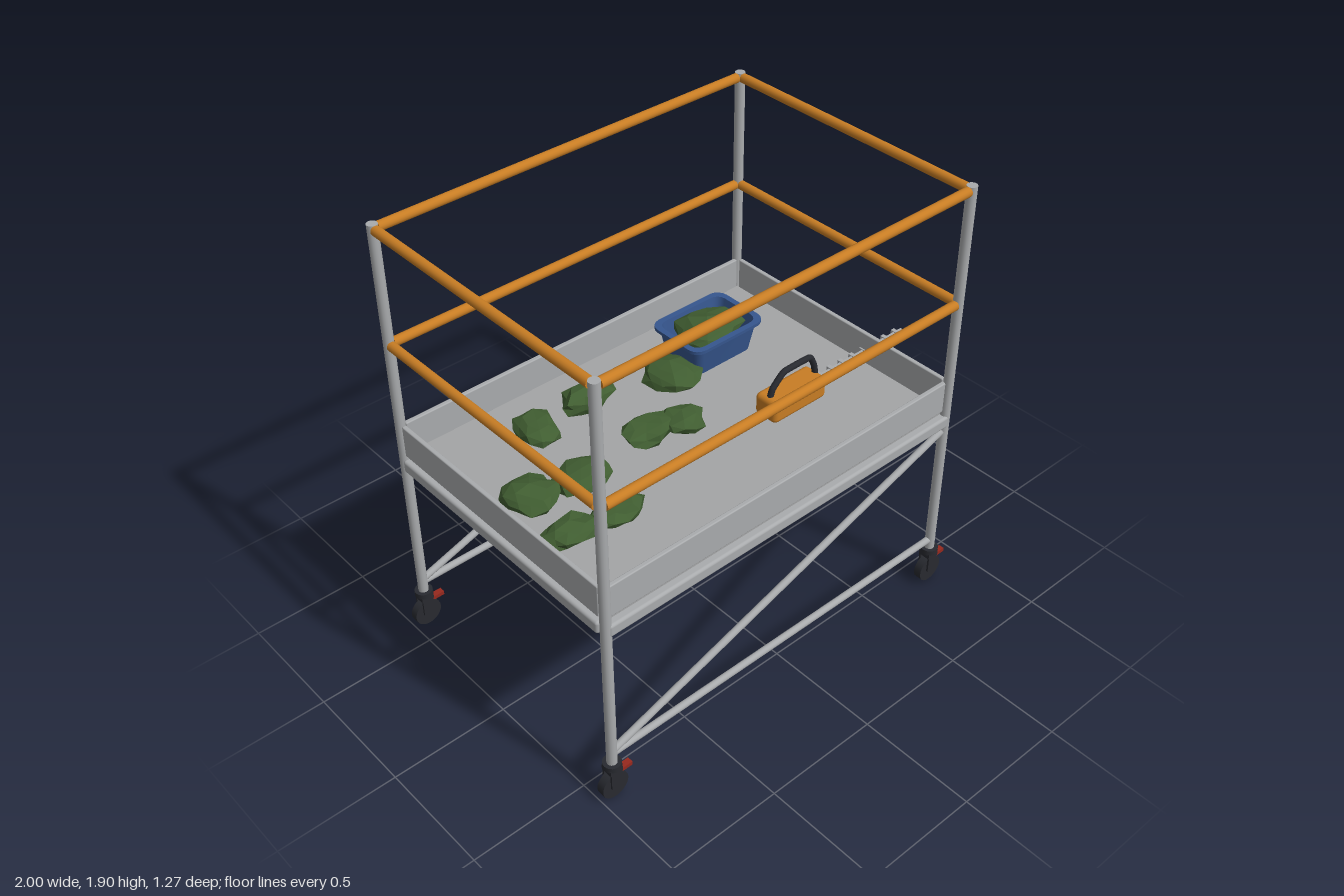
import * as THREE from 'three';
import { toCreasedNormals } from 'three/addons/utils/BufferGeometryUtils.js';
import { RoundedBoxGeometry } from 'three/addons/geometries/RoundedBoxGeometry.js';

const mat = (name, color, extra = {}) => {
  const m = new THREE.MeshStandardMaterial({ color, ...extra });
  m.name = name;
  return m;
};

export function createModel() {
  const M = {
    alu: mat('aluminium', 0xa9abad),
    deck: mat('deck grey', 0xa4a5a6),
    orange: mat('safety orange', 0xc87d24),
    dark: mat('black rubber', 0x282a30),
    red: mat('brake red', 0x96291e),
    blue: mat('bin blue', 0x36568e),
    green: mat('leaf green', 0x405d31, { flatShading: true }),
  };
  const model = new THREE.Group();
  model.name = 'hedgeTrimmingPlatform';

  const add = (name, geo, material, x = 0, y = 0, z = 0, parent = model) => {
    const m = new THREE.Mesh(geo, material);
    m.name = name;
    m.position.set(x, y, z);
    parent.add(m);
    return m;
  };
  const box = (name, w, h, d, material, x, y, z, parent) =>
    add(name, new THREE.BoxGeometry(w, h, d), material, x, y, z, parent);
  const rounded = (name, w, h, d, r, material, x, y, z, parent) =>
    add(name, new RoundedBoxGeometry(w, h, d, 3, r), material, x, y, z, parent);
  // Round tube between two points
  const rod = (name, a, b, r, material) => {
    const p = new THREE.Vector3(...a), q = new THREE.Vector3(...b);
    const m = add(name, new THREE.CylinderGeometry(r, r, p.distanceTo(q), 16), material);
    m.position.copy(p).add(q).multiplyScalar(0.5);
    m.quaternion.setFromUnitVectors(new THREE.Vector3(0, 1, 0), q.sub(p).normalize());
  };

  const X0 = -0.94, X1 = 0.785, XM = (X0 + X1) / 2, L = X1 - X0, Z = 0.6;

  // Posts and casters
  const caster = (x, z) => {
    const g = new THREE.Group();
    g.name = 'caster';
    g.position.set(x, 0, z);
    model.add(g);
    add('wheel', new THREE.CylinderGeometry(0.06, 0.06, 0.034, 24), M.dark, 0, 0.06, 0, g).rotation.x = Math.PI / 2;
    for (const s of [-1, 1]) box('forkPlate', 0.05, 0.09, 0.008, M.dark, 0, 0.105, s * 0.023, g);
    box('forkCrown', 0.055, 0.025, 0.054, M.dark, 0, 0.145, 0, g);
    add('collar', new THREE.CylinderGeometry(0.037, 0.037, 0.024, 20), M.dark, 0, 0.165, 0, g);
    box('brakeLever', 0.06, 0.017, 0.026, M.red, 0.055, 0.112, 0, g);
  };
  for (const x of [X0, X1]) for (const z of [-Z, Z]) {
    rod('post', [x, 0.17, z], [x, 1.905, z], 0.021, M.alu);
    caster(x, z);
  }

  // Guard rails on all four sides
  for (const y of [1.4, 1.885]) {
    for (const z of [-Z, Z]) rod('longGuardRail', [X0 + 0.018, y, z], [X1 - 0.018, y, z], 0.02, M.orange);
    for (const x of [X0, X1]) rod('endGuardRail', [x, y, -Z + 0.018], [x, y, Z - 0.018], 0.02, M.orange);
  }

  // Lower braces on the long sides
  for (const z of [-Z, Z]) {
    rod('lowerRail', [X0, 0.22, z], [X1, 0.22, z], 0.015, M.alu);
    rod('diagonalBrace', [X0 + 0.01, 0.235, z], [X1 - 0.01, 0.8, z], 0.015, M.alu);
  }

  // Deck frame, deck and toe boards
  for (const z of [-Z, Z]) {
    rounded('longBeam', L, 0.055, 0.046, 0.012, M.alu, XM, 0.853, z);
    rounded('longToeBoard', L - 0.03, 0.14, 0.02, 0.005, M.alu, XM, 0.968, z * 0.985);
  }
  for (const x of [X0, X1]) {
    rounded('endBeam', 0.046, 0.055, 1.16, 0.012, M.alu, x, 0.853, 0);
    rounded('endToeBoard', 0.02, 0.14, 1.15, 0.005, M.alu, x, 0.968, 0);
  }
  rounded('crossBeam', 0.046, 0.05, 1.16, 0.012, M.alu, XM, 0.855, 0);
  box('deck', L - 0.02, 0.025, 1.18, M.deck, XM, 0.89, 0);

  // Hedge trimmer lying on the deck
  const trimmer = new THREE.Group();
  trimmer.name = 'hedgeTrimmer';
  trimmer.position.set(0, 0, 0.173);
  model.add(trimmer);
  rounded('trimmerBody', 0.285, 0.1, 0.118, 0.022, M.orange, 0.353, 0.952, 0, trimmer);
  const grip = new THREE.CatmullRomCurve3(
    [[0.235, 0.98], [0.25, 1.03], [0.31, 1.084], [0.45, 1.084], [0.478, 1.03], [0.485, 0.98]]
      .map(([x, y]) => new THREE.Vector3(x, y, 0)), false, 'catmullrom', 0.15);
  add('trimmerHandle', new THREE.TubeGeometry(grip, 40, 0.013, 10), M.dark, 0, 0, 0, trimmer);
  box('blade', 0.515, 0.016, 0.026, M.alu, 0.7425, 0.952, 0, trimmer);
  for (let i = 0; i < 8; i++) box('bladeTooth', 0.018, 0.022, 0.054, M.alu, 0.525 + i * 0.063, 0.952, 0, trimmer);

  // Open bin: rounded rectangles lofted up the outside and down the inside
  const ring = (hw, hd, r, y) => {
    const pts = [];
    [[1, 1], [-1, 1], [-1, -1], [1, -1]].forEach(([sx, sz], c) => {
      for (let k = 0; k <= 4; k++) {
        const a = (c + k / 4) * Math.PI / 2;
        pts.push([sx * (hw - r) + r * Math.cos(a), y, sz * (hd - r) + r * Math.sin(a)]);
      }
    });
    return pts;
  };
  const rings = [
    ring(0.01, 0.01, 0.005, 0.904), ring(0.15, 0.105, 0.035, 0.904), ring(0.172, 0.125, 0.04, 1.03),
    ring(0.19, 0.143, 0.05, 1.033), ring(0.19, 0.143, 0.05, 1.047), ring(0.165, 0.118, 0.04, 1.047),
    ring(0.142, 0.097, 0.03, 0.914), ring(0.005, 0.005, 0.002, 0.914),
  ];
  const pos = rings.flat(2), idx = [], n = rings[0].length;
  for (let i = 0; i < rings.length - 1; i++) for (let j = 0; j < n; j++) {
    const k = (j + 1) % n, a = i * n, b = a + n;
    idx.push(a + j, b + j, a + k, b + j, b + k, a + k);
  }
  const binGeo = new THREE.BufferGeometry();
  binGeo.setAttribute('position', new THREE.Float32BufferAttribute(pos, 3));
  binGeo.setIndex(idx);
  add('bin', toCreasedNormals(binGeo, 0.6), M.blue, 0.355, 0, -0.312);

  // Leafy clippings: jagged squashed blobs
  const clump = (seed, x, y, z, rx, ry, rz) => {
    const geo = new THREE.IcosahedronGeometry(1, 1), p = geo.attributes.position;
    const v = new THREE.Vector3();
    for (let i = 0; i < p.count; i++) {
      v.fromBufferAttribute(p, i);
      const key = Math.round(v.x * 50) * 12.99 + Math.round(v.y * 50) * 78.23 + Math.round(v.z * 50) * 37.72;
      const h = Math.sin(key + seed * 5.13) * 43758.55;
      v.multiplyScalar(0.74 + 0.38 * (h - Math.floor(h)));
      p.setXYZ(i, v.x * rx, v.y * ry, v.z * rz);
    }
    geo.computeVertexNormals();
    add('clipping', geo, M.green, x, y, z);
  };
  [
    [-0.51, -0.33, 0.09, 0.115], [-0.24, -0.36, 0.135, 0.08], [0.11, -0.27, 0.125, 0.135],
    [-0.765, -0.04, 0.12, 0.105], [-0.565, 0.01, 0.13, 0.1], [-0.21, -0.035, 0.125, 0.085],
    [-0.06, -0.005, 0.1, 0.095], [-0.78, 0.21, 0.13, 0.08], [-0.59, 0.24, 0.12, 0.08],
  ].forEach(([x, z, rx, rz], i) => clump(i + 1, x, 0.943, z, rx, 0.05, rz));
  clump(11, 0.35, 1.02, -0.312, 0.16, 0.055, 0.115);

  return model;
}
